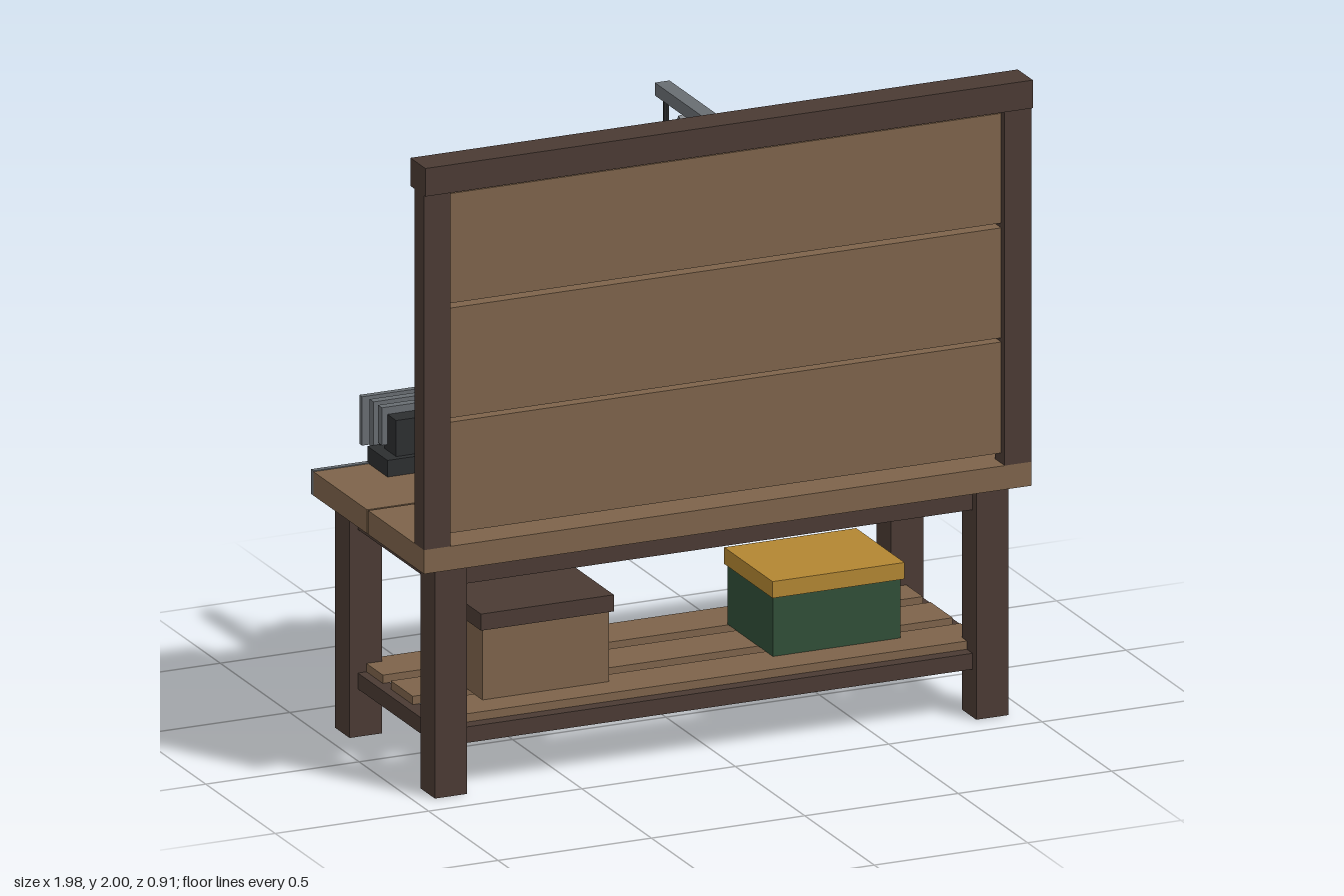
import * as THREE from 'three';

const mat = (name, color) => {
  const m = new THREE.MeshStandardMaterial({ color, flatShading: true });
  m.name = name;
  return m;
};

export function createModel() {
  const wood = mat('wood', 0x7d634a), dark = mat('dark wood', 0x4a3a33);
  const steel = mat('steel', 0x686d72), black = mat('gunmetal', 0x2c2e30);
  const green = mat('green paint', 0x304e37), yellow = mat('yellow paint', 0xb28632);
  const red = mat('red paint', 0x8f3a36), blue = mat('blue cloth', 0x3f5a7a);

  const model = new THREE.Group();
  model.name = 'workbench';
  let parent = model;
  const group = (name, build) => {
    const g = new THREE.Group();
    g.name = name;
    model.add(g);
    parent = g;
    build(g);
    parent = model;
  };
  const add = (name, geo, m) => {
    const mesh = new THREE.Mesh(geo, m);
    mesh.name = name;
    parent.add(mesh);
    return mesh;
  };
  // Box given by its limits on each axis
  const box = (name, m, x0, x1, y0, y1, z0, z1) => {
    const b = add(name, new THREE.BoxGeometry(x1 - x0, y1 - y0, z1 - z0), m);
    b.position.set((x0 + x1) / 2, (y0 + y1) / 2, (z0 + z1) / 2);
    return b;
  };
  // Bar lying on the table between two (x, z) points
  const bar = (name, m, x0, z0, x1, z1, w, y0, y1) => {
    const b = add(name, new THREE.BoxGeometry(w, y1 - y0, Math.hypot(x1 - x0, z1 - z0)), m);
    b.position.set((x0 + x1) / 2, (y0 + y1) / 2, (z0 + z1) / 2);
    b.rotation.y = Math.atan2(x1 - x0, z1 - z0);
    return b;
  };
  const drum = (name, m, rTop, rBottom, y0, y1, sides, x = 0, z = 0) => {
    const c = add(name, new THREE.CylinderGeometry(rTop, rBottom, y1 - y0, sides), m);
    c.position.set(x, (y0 + y1) / 2, z);
    return c;
  };
  // Round barrel along x
  const barrel = (name, m, x0, x1, y, z, r) => {
    const c = add(name, new THREE.CylinderGeometry(r, r, x1 - x0, 8), m);
    c.rotation.z = Math.PI / 2;
    c.position.set((x0 + x1) / 2, y, z);
  };

  group('tableFrame', () => {
    box('frontTopPlank', wood, -0.99, 0.99, 0.725, 0.8, 0.043, 0.445);
    box('rearTopPlank', wood, -0.99, 0.99, 0.725, 0.8, -0.35, 0.035);
    box('steelEdge', steel, -0.99, 0.99, 0.725, 0.803, -0.367, -0.35);
    for (const s of [-1, 1]) {
      const [a, b] = s < 0 ? [-0.935, -0.83] : [0.83, 0.935];
      box('frontLeg', dark, a, b, 0, 0.725, 0.297, 0.402);
      box('rearLeg', dark, a, b, 0, 0.725, -0.317, -0.212);
      box('sideApron', dark, s * 0.883 - 0.025, s * 0.883 + 0.025, 0.65, 0.725, -0.212, 0.297);
      box('sideStretcher', dark, s * 0.883 - 0.025, s * 0.883 + 0.025, 0.15, 0.2, -0.212, 0.297);
    }
    for (const z of [-0.265, 0.35]) {
      box('longApron', dark, -0.83, 0.83, 0.65, 0.725, z - 0.025, z + 0.025);
      box('longStretcher', dark, -0.83, 0.83, 0.15, 0.2, z - 0.025, z + 0.025);
    }
    for (const z of [-0.173, 0.042, 0.255])
      box('shelfSlat', wood, -0.88, 0.88, 0.2, 0.226, z - 0.079, z + 0.079);
  });

  group('backBoard', () => {
    box('topBeam', dark, -0.99, 0.99, 1.912, 2, 0.347, 0.455);
    box('leftPost', dark, 0.903, 0.99, 0.8, 1.912, 0.375, 0.445);
    box('rightPost', dark, -0.99, -0.903, 0.8, 1.912, 0.375, 0.445);
    for (const [y0, y1] of [[0.832, 1.18], [1.193, 1.538], [1.553, 1.897]])
      box('boardPlank', wood, -0.905, 0.905, y0, y1, 0.376, 0.42);
    for (const x of [-0.38, 0.322]) {
      box('rackBatten', dark, x - 0.026, x + 0.026, 0.87, 1.86, 0.35, 0.377);
      for (const y of [1.05, 1.34, 1.63]) {
        box('rackHook', steel, x - 0.022, x + 0.022, y, y + 0.03, 0.26, 0.35);
        box('hookTip', steel, x - 0.022, x + 0.022, y + 0.03, y + 0.042, 0.26, 0.272);
      }
    }
  });

  // Long tools hung on the rack
  group('upperRackItem', () => {
    barrel('barrel', black, 0.12, 0.555, 1.712, 0.31, 0.013);
    box('foreEnd', black, 0.1, 0.27, 1.675, 1.705, 0.295, 0.325);
    box('receiver', steel, -0.17, 0.15, 1.675, 1.735, 0.292, 0.328);
    box('stock', black, -0.52, -0.17, 1.655, 1.715, 0.293, 0.327);
    box('stockEnd', black, -0.52, -0.4, 1.64, 1.715, 0.291, 0.329);
  });
  group('middleRackItem', () => {
    barrel('barrel', black, 0.1, 0.5, 1.42, 0.31, 0.012);
    box('frontSight', black, 0.44, 0.475, 1.42, 1.465, 0.3, 0.32);
    box('handGuard', black, 0.05, 0.25, 1.395, 1.435, 0.295, 0.325);
    box('receiver', black, -0.19, 0.07, 1.375, 1.44, 0.29, 0.33);
    box('rearSight', black, -0.08, -0.03, 1.44, 1.475, 0.3, 0.32);
    box('magazine', black, -0.02, 0.035, 1.29, 1.38, 0.297, 0.323);
    box('grip', black, -0.15, -0.1, 1.3, 1.38, 0.297, 0.323).rotation.z = -0.15;
    box('stock', wood, -0.5, -0.18, 1.365, 1.425, 0.293, 0.327);
  });
  group('lowerRackItem', () => {
    barrel('barrel', black, 0.1, 0.56, 1.135, 0.31, 0.012);
    box('receiver', steel, -0.15, 0.13, 1.12, 1.15, 0.293, 0.327);
    box('foreStock', wood, -0.16, 0.27, 1.09, 1.122, 0.292, 0.328);
    box('stock', wood, -0.525, -0.16, 1.07, 1.13, 0.29, 0.33);
    barrel('scope', black, -0.085, 0.095, 1.185, 0.31, 0.02);
    for (const x of [-0.04, 0.05]) box('scopeMount', black, x - 0.01, x + 0.01, 1.148, 1.175, 0.3, 0.32);
  });

  group('hangingLamp', () => {
    box('arm', steel, -0.024, 0.024, 1.945, 1.985, -0.027, 0.35);
    const strut = box('strut', steel, -0.016, 0.016, 1.815, 1.845, 0.088, 0.372);
    strut.position.set(0, 1.832, 0.232);
    strut.rotation.x = Math.atan2(0.17, 0.23);
    drum('rod', black, 0.009, 0.009, 1.64, 1.95, 6);
    drum('shade', green, 0.045, 0.183, 1.52, 1.642, 9).rotation.y = Math.PI;
    drum('bulb', yellow, 0.032, 0.024, 1.483, 1.525, 8);
  });

  group('shelfBoxes', () => {
    box('woodCrate', wood, -0.705, -0.292, 0.226, 0.45, -0.1, 0.237);
    box('crateLid', dark, -0.715, -0.282, 0.448, 0.5, -0.11, 0.248);
    box('greenCrate', green, 0.246, 0.662, 0.226, 0.415, -0.1, 0.227);
    box('greenCrateLid', yellow, 0.24, 0.67, 0.413, 0.465, -0.11, 0.238);
  });

  group('tableBoxes', () => {
    box('toolbox', green, 0.645, 0.915, 0.8, 0.937, 0.003, 0.163);
    box('toolboxLid', steel, 0.635, 0.925, 0.935, 0.965, -0.008, 0.17);
    box('latch', yellow, 0.75, 0.81, 0.87, 0.935, -0.015, 0.005);
    box('redBox', red, 0.67, 0.86, 0.8, 0.87, -0.205, -0.075);
    box('redBoxLid', yellow, 0.662, 0.867, 0.868, 0.893, -0.215, -0.067);
    box('tray', wood, -0.165, 0.122, 0.8, 0.83, 0.2, 0.31);
    box('trayYellowBlock', yellow, -0.143, -0.025, 0.83, 0.84, 0.215, 0.29);
    box('traySteelBlock', steel, -0.01, 0.1, 0.83, 0.84, 0.215, 0.29);
  });

  group('vise', () => {
    box('base', black, -0.81, -0.582, 0.8, 0.852, -0.36, -0.215);
    box('fixedBlock', black, -0.772, -0.615, 0.85, 0.965, -0.32, -0.237);
    box('fixedJaw', steel, -0.79, -0.6, 0.87, 0.988, -0.328, -0.3);
    box('movingBlock', black, -0.772, -0.615, 0.852, 0.965, -0.42, -0.352);
    box('movingJaw', steel, -0.79, -0.59, 0.83, 0.988, -0.388, -0.36);
    box('screw', steel, -0.712, -0.672, 0.89, 0.93, -0.45, -0.3);
    box('handlePlate', steel, -0.792, -0.592, 0.827, 0.98, -0.458, -0.438);
  });

  group('matAndPart', () => {
    box('mat', blue, -0.305, 0.305, 0.8, 0.808, -0.215, 0.162);
    box('steelBody', steel, -0.215, 0.11, 0.808, 0.835, -0.042, -0.002);
    box('darkShaft', black, 0.1, 0.268, 0.81, 0.83, -0.032, -0.012);
  });

  group('handTools', () => {
    bar('hammerHandle', wood, -0.46, -0.1, -0.402, 0.125, 0.02, 0.803, 0.822);
    bar('hammerHead', steel, -0.502, -0.105, -0.424, -0.125, 0.036, 0.8, 0.832);
    bar('tongArm', steel, 0.495, 0.055, 0.53, -0.135, 0.024, 0.8, 0.815);
    bar('tongArm', steel, 0.59, 0.055, 0.562, -0.135, 0.024, 0.8, 0.815);
    for (const [x, z, m] of [[0.337, 0.16, red], [0.409, 0.142, blue]]) {
      bar('driverHandle', m, x, z, x, z + 0.093, 0.024, 0.8, 0.826);
      bar('driverShaft', black, x, z - 0.11, x, z, 0.009, 0.808, 0.817);
    }
    drum('oilCan', red, 0.04, 0.04, 0.8, 0.89, 6, 0.395, -0.125).rotation.y = Math.PI / 6;
    drum('oilCanShoulder', red, 0.016, 0.036, 0.89, 0.912, 6, 0.395, -0.125).rotation.y = Math.PI / 6;
    drum('oilCanSpout', yellow, 0.007, 0.016, 0.905, 0.947, 6, 0.395, -0.125);
  });

  return model;
}
